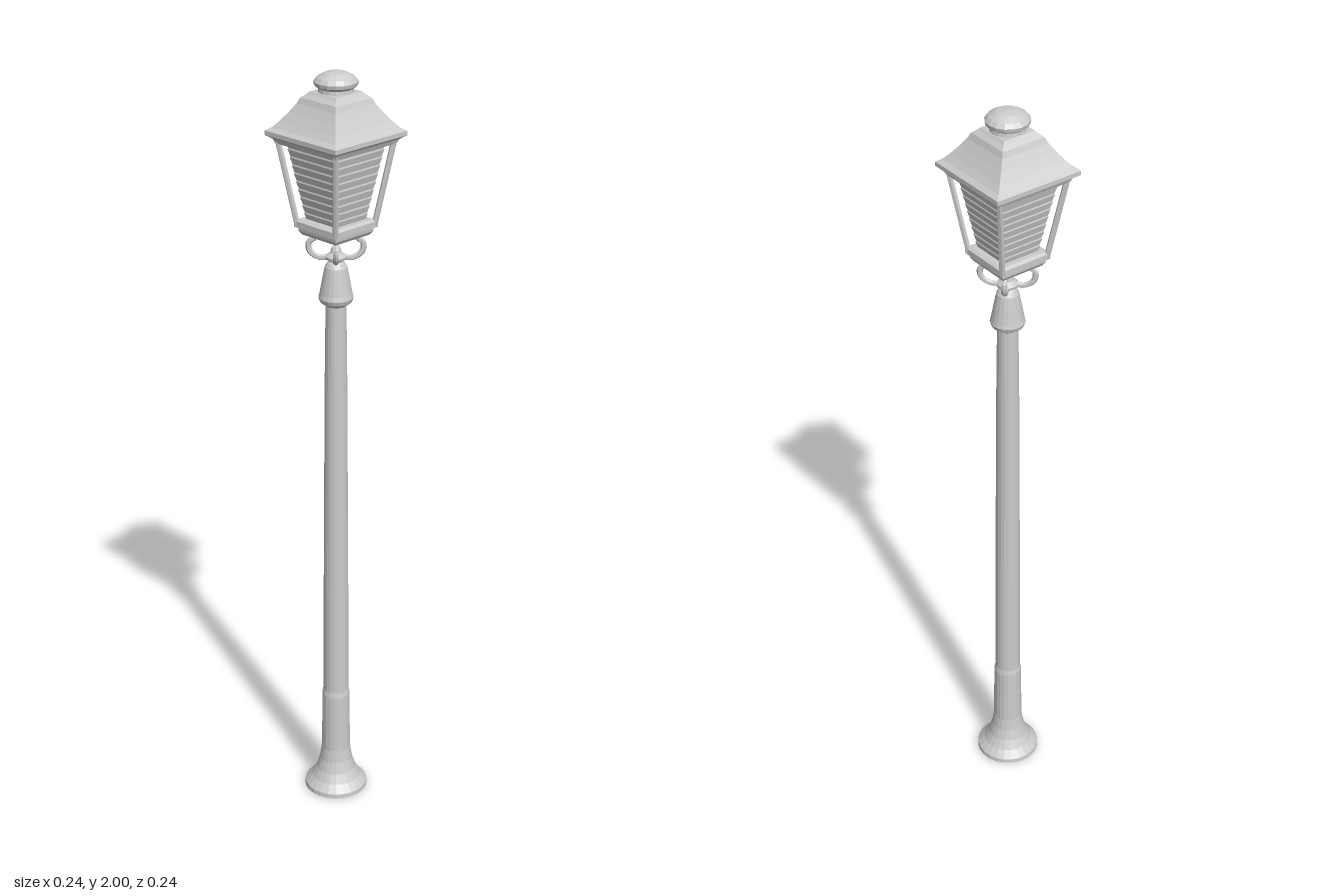
import * as THREE from 'three';

const material = new THREE.MeshStandardMaterial({ color: 0xcccccc, flatShading: true });

function add(group, name, geometry) {
  const mesh = new THREE.Mesh(geometry, material);
  mesh.name = name;
  group.add(mesh);
  return mesh;
}

// Turned part from [radius, height] pairs, bottom to top
const turned = (profile, sides = 20) =>
  new THREE.LatheGeometry(profile.map(([r, y]) => new THREE.Vector2(r, y)), sides);

// Square part from [half width, height] pairs, bottom to top
const square = (profile) =>
  new THREE.LatheGeometry(
    profile.map(([h, y]) => new THREE.Vector2(h * Math.SQRT2, y)), 4, Math.PI / 4);

const vec = (a) => new THREE.Vector3(...a);

// Straight bar between two points
function bar(a, b, radius) {
  return new THREE.TubeGeometry(new THREE.LineCurve3(vec(a), vec(b)), 1, radius, 6);
}

export function createModel() {
  const model = new THREE.Group();
  model.name = 'streetLamp';

  // Flared foot, slightly hollow below, and tapering pole
  add(model, 'foot', turned([
    [0, 0.015], [0.074, 0.012], [0.078, 0], [0.085, 0.004], [0.084, 0.016],
    [0.066, 0.036], [0.053, 0.06], [0.044, 0.09], [0.039, 0.125],
  ], 24));
  add(model, 'pole', turned([
    [0.039, 0.125], [0.038, 0.2], [0.037, 0.295], [0.034, 0.31],
    [0.033, 0.6], [0.031, 0.9], [0.029, 1.2], [0.026, 1.43],
  ]));

  // Collar and knob on top of the pole
  add(model, 'collar', turned([
    [0.026, 1.415], [0.04, 1.425], [0.044, 1.436], [0.041, 1.447],
    [0.034, 1.485], [0.028, 1.515], [0.022, 1.525], [0.017, 1.53],
    [0.026, 1.536], [0.027, 1.543], [0.014, 1.552], [0.011, 1.565], [0, 1.57],
  ]));

  const lantern = new THREE.Group();
  lantern.name = 'lantern';
  model.add(lantern);

  // Curved brackets and corner posts, one of each per corner
  for (const [sx, sz] of [[1, 1], [1, -1], [-1, 1], [-1, -1]]) {
    const path = [[0.008, 1.54], [0.03, 1.54], [0.045, 1.555], [0.047, 1.578], [0.036, 1.592], [0.04, 1.605]];
    const curve = new THREE.CatmullRomCurve3(path.map(([d, y]) => new THREE.Vector3(sx * d, y, sz * d)));
    add(lantern, 'bracket', new THREE.TubeGeometry(curve, 16, 0.0075, 6));
    add(lantern, 'cornerPost',
      bar([sx * 0.066, 1.62, sz * 0.066], [sx * 0.099, 1.84, sz * 0.099], 0.0075));
  }

  // Square tray holding the lantern
  add(lantern, 'tray', square([
    [0, 1.597], [0.058, 1.597], [0.064, 1.606], [0.065, 1.614],
    [0.072, 1.617], [0.072, 1.632], [0.064, 1.637], [0, 1.637],
  ]));

  // Ribbed lamp body, widening upwards
  const ribs = [];
  const count = 10;
  for (let i = 0; i < count; i++) {
    const y = 1.634 + (i * 0.2) / count;
    const h = 0.05 + (i * 0.034) / count;
    ribs.push([h, y], [h + 0.0045, y + 0.016]);
  }
  ribs.push([0.085, 1.838]);
  add(lantern, 'ribbedBody', square(ribs));

  // Roof with a thick eave and a concave slope
  add(lantern, 'roof', square([
    [0, 1.825], [0.102, 1.825], [0.107, 1.836], [0.12, 1.845], [0.12, 1.856],
    [0.108, 1.864], [0.096, 1.878], [0.08, 1.9], [0.066, 1.922],
    [0.06, 1.936], [0.049, 1.945], [0.044, 1.951], [0, 1.951],
  ]));

  // Round neck and domed cap
  add(lantern, 'cap', turned([
    [0.044, 1.945], [0.042, 1.96], [0.052, 1.967], [0.054, 1.976],
    [0.046, 1.986], [0.028, 1.996], [0, 2],
  ], 16));

  return model;
}
